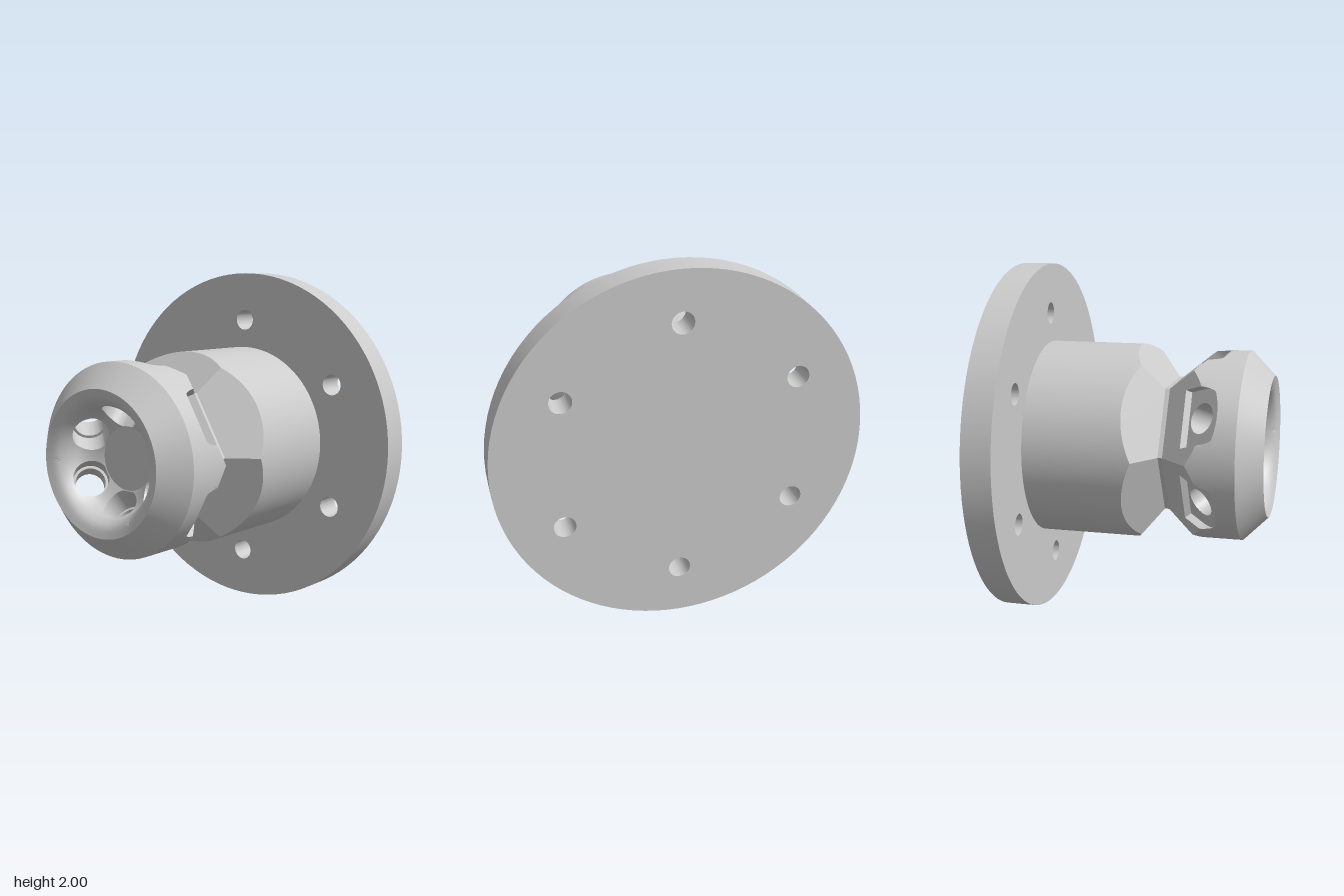
import * as THREE from 'three';
import { toCreasedNormals, mergeGeometries } from 'three/addons/utils/BufferGeometryUtils.js';

// All parts are built around the z axis, then lifted so the flange stands on y = 0.
const M = 20;                        // points per 60 degree sector side
const HALF = Math.PI / 6;
const R_BODY = 0.555, R_HEAD = 0.535, APOTHEM = 0.345;
const Z_BASE = -0.565, Z_NECK0 = 0.155, Z_NECK1 = 0.18, Z_HEAD = 0.595, Z_RIM = 0.73;
const BACK_SLOPE = 1.167, SLOPE = 0.806, ALPHA = Math.atan(SLOPE);
const SIN = Math.sin(ALPHA), COS = Math.cos(ALPHA);

// Pocket frame: centre on the sloped flat, u tangential, v up the slope, h along the bore
const DEPTH = 0.045, CZ = 0.367, CA = APOTHEM + SLOPE * (CZ - Z_NECK1);
const BORE = 0.085, COUNTERBORE = 0.1, STEP = 0.15;

const bowl = new THREE.SplineCurve([
  [0.175, 0.5], [0.235, 0.535], [0.275, 0.575], [0.295, 0.625], [0.31, 0.665], [0.343, 0.706], [0.4, Z_RIM],
].map(([r, z]) => new THREE.Vector2(r, z)));

const lerp = THREE.MathUtils.lerp;

// Largest t in [lo, hi] for which test(t) still holds
function bisect(lo, hi, test) {
  for (let i = 0; i < 26; i++) {
    const mid = (lo + hi) / 2;
    if (test(mid)) lo = mid; else hi = mid;
  }
  return lo;
}

// Joins successive closed loops of Vector3 with triangles
function skin(loops) {
  const pos = [], n = loops[0].length;
  const ab = new THREE.Vector3(), ac = new THREE.Vector3();
  const tri = (a, b, c) => {
    ab.subVectors(b, a); ac.subVectors(c, a);
    if (ab.cross(ac).length() > 1e-9) for (const p of [a, b, c]) pos.push(p.x, p.y, p.z);
  };
  for (let k = 0; k + 1 < loops.length; k++) {
    const A = loops[k], B = loops[k + 1];
    for (let i = 0; i < n; i++) {
      const j = (i + 1) % n;
      tri(A[i], B[i], B[j]);
      tri(A[i], B[j], A[j]);
    }
  }
  const g = new THREE.BufferGeometry();
  g.setAttribute('position', new THREE.Float32BufferAttribute(pos, 3));
  return g;
}

// Loop around the axis; f(d) gives [radius, z] at angle d from the middle of a flat
function ring(f) {
  return Array.from({ length: 6 * M }, (_, i) => {
    const [r, z] = f(((i % M) / M * 2 - 1) * HALF), t = i / M * 2 * HALF;
    return new THREE.Vector3(r * Math.cos(t), r * Math.sin(t), z);
  });
}

const at = (u, v, h) => new THREE.Vector3(CA + v * SIN + h * COS, u, CZ + v * COS - h * SIN);
const cylinderH = (u, v) => (Math.sqrt(R_HEAD ** 2 - u * u) - CA - v * SIN) / COS;
const surfaceH = (u, v) => Math.min(0, cylinderH(u, v));
const inPocket = (u, v) => v > -0.1 && Math.abs(u) < 0.165 &&
  (v < 0 || Math.hypot(u, v) < 0.165) && cylinderH(u, v) > -DEPTH;

// Outer edge of one head sector, as [u, v] pairs running anticlockwise
function sectorEdge() {
  const kink = Z_NECK1 + (R_HEAD * Math.cos(HALF) - APOTHEM) / SLOPE;
  const side = (i) => {
    const z = i < M / 2 ? lerp(Z_NECK1, kink, i * 2 / M) : lerp(kink, Z_HEAD, i * 2 / M - 1);
    const a = Math.min(APOTHEM + SLOPE * (z - Z_NECK1), R_HEAD * Math.cos(HALF));
    return [a, a * Math.tan(HALF), z];
  };
  const pts = [];
  for (let i = 0; i < M; i++) pts.push([APOTHEM, APOTHEM * Math.tan((i / M * 2 - 1) * HALF), Z_NECK1]);
  for (let i = 0; i < M; i++) pts.push(side(i));
  for (let i = 0; i < M; i++) {
    const t = (1 - i / M * 2) * HALF;
    pts.push([R_HEAD * Math.cos(t), R_HEAD * Math.sin(t), Z_HEAD]);
  }
  for (let i = 0; i < M; i++) { const [a, u, z] = side(M - i); pts.push([a, -u, z]); }
  return pts.map(([a, u, z]) => [u, (a - CA) * SIN + (z - CZ) * COS]);
}

// One sixth of the head: bowl wall, angled bore, spot-faced pocket and outer skin
function headSector() {
  const edge = sectorEdge();
  const phis = edge.map(([u, v]) => Math.atan2(v, u));
  const circle = (r, h) => phis.map((p) => at(r * Math.cos(p), r * Math.sin(p), h));

  // Pocket outline, with its two square corners kept sharp
  const pocket = phis.map((p) => {
    const c = Math.cos(p), s = Math.sin(p), t = bisect(0, 0.3, (q) => inPocket(q * c, q * s));
    return [t * c, t * s];
  });
  for (const u of [-0.165, 0.165]) {
    const p = Math.atan2(-0.1, u);
    let best = 0;
    phis.forEach((q, i) => { if (Math.abs(q - p) < Math.abs(phis[best] - p)) best = i; });
    pocket[best] = [u, -0.1];
  }

  // Where the counterbore breaks into the bowl, as [angle, position along the bowl curve]
  const alongBowl = (r) => bisect(0, 1, (s) => bowl.getPointAt(s).x < r);
  const mouth = phis.map((p) => {
    const u = COUNTERBORE * Math.cos(p), v = COUNTERBORE * Math.sin(p);
    const t = bisect(0.1, 0.45, (q) => {
      const P = at(u, v, -DEPTH - q);
      return P.z < bowl.getPointAt(alongBowl(Math.hypot(P.x, P.y))).y;
    });
    const P = at(u, v, -DEPTH - t);
    return [Math.atan2(P.y, P.x), Math.max(0.015, alongBowl(Math.hypot(P.x, P.y)))];
  });
  const bowlEdge = phis.map((_, i) => {
    const k = (i % M) / M, w = (2 * k - 1) * HALF;
    return [[w, 0], [HALF, k], [-w, 1], [-HALF, 1 - k]][Math.floor(i / M)];
  });
  const onBowl = ([t, s]) => {
    const p = bowl.getPointAt(THREE.MathUtils.clamp(s, 0, 1));
    return new THREE.Vector3(p.x * Math.cos(t), p.x * Math.sin(t), p.y);
  };
  const mix = (a, b, t) => [lerp(a[0], b[0], t), lerp(a[1], b[1], t)];

  const loops = [];
  for (let k = 0; k <= 12; k++) loops.push(bowlEdge.map((b, i) => onBowl(mix(b, mouth[i], k / 12))));
  loops.push(circle(COUNTERBORE, -DEPTH - STEP), circle(BORE, -DEPTH - STEP), circle(BORE, -DEPTH));
  loops.push(pocket.map(([u, v]) => at(u, v, -DEPTH)));

  // Outer skin, with one loop lying on the crease between flat and cylinder
  const crease = pocket.map((p, i) => bisect(0, 1, (t) => cylinderH(...mix(p, edge[i], t)) >= 0));
  for (let k = 0; k <= 10; k++) {
    loops.push(pocket.map((p, i) => {
      const t = k < 4 ? crease[i] * k / 4 : lerp(crease[i], 1, (k - 4) / 6);
      const [u, v] = mix(p, edge[i], t);
      return at(u, v, surfaceH(u, v));
    }));
  }
  return skin(loops);
}

export function createModel() {
  const model = new THREE.Group();
  const material = new THREE.MeshStandardMaterial({ color: 0xcccccc });
  const add = (name, geometry) => {
    const mesh = new THREE.Mesh(geometry, material);
    mesh.name = name;
    mesh.position.y = 1;
    model.add(mesh);
    return mesh;
  };

  // Mounting flange with six bolt holes
  const disc = new THREE.Shape().absarc(0, 0, 1, 0, Math.PI * 2);
  for (let i = 0; i < 6; i++) {
    const t = HALF * (2 * i + 1);
    disc.holes.push(new THREE.Path().absarc(0.72 * Math.cos(t), 0.72 * Math.sin(t), 0.06, 0, Math.PI * 2, true));
  }
  const flange = new THREE.ExtrudeGeometry(disc, { depth: 0.165, bevelEnabled: false, curveSegments: 48 });
  add('flange', toCreasedNormals(flange, 0.5)).position.z = -0.73;

  // Round body cut down to a hexagonal neck
  const neck = (z) => ring((d) => [APOTHEM / Math.cos(d), z]);
  add('bodyAndNeck', toCreasedNormals(skin([
    neck(Z_NECK1), neck(Z_NECK0),
    ring((d) => [R_BODY, Z_NECK0 - (R_BODY * Math.cos(d) - APOTHEM) / BACK_SLOPE]),
    ring(() => [R_BODY, Z_BASE]),
  ]), 0.5));

  // Head with six angled bores, plus its front chamfer
  const sector = headSector();
  const parts = Array.from({ length: 6 }, (_, i) => sector.clone().rotateZ(HALF * (2 * i + 1)));
  parts.push(skin([ring(() => [0.4, Z_RIM]), ring(() => [R_HEAD, Z_HEAD])]));
  add('head', toCreasedNormals(mergeGeometries(parts), 0.5));

  // Flat floor of the bowl
  add('bowlFloor', new THREE.CircleGeometry(0.175, 6 * M)).position.z = 0.5;

  return model;
}
